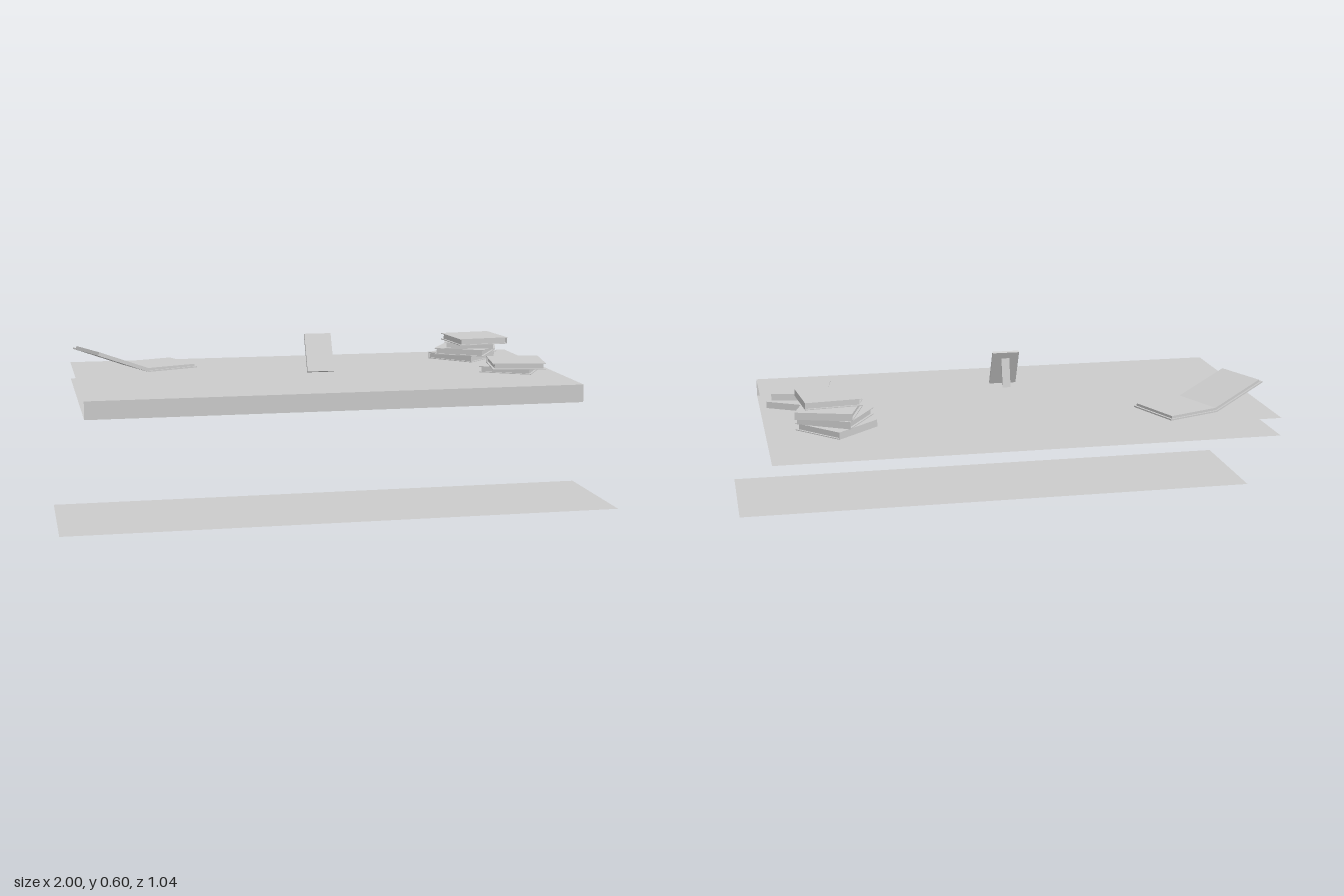
import * as THREE from 'three';

const grey = new THREE.MeshStandardMaterial({ color: 0xcccccc, flatShading: true });
const sheet = new THREE.MeshStandardMaterial({ color: 0xcccccc, side: THREE.DoubleSide });

function box(parent, name, w, h, d, x, y, z) {
  const m = new THREE.Mesh(new THREE.BoxGeometry(w, h, d), grey);
  m.name = name;
  m.position.set(x, y, z);
  parent.add(m);
  return m;
}

function panel(parent, name, w, h, x, y, z, tilt) {
  const m = new THREE.Mesh(new THREE.PlaneGeometry(w, h), sheet);
  m.name = name;
  m.position.set(x, y, z);
  m.rotation.x = tilt;
  parent.add(m);
}

// Closed book standing on its local y = 0, spine along the back
function closedBook(thickness) {
  const s = 0.2, c = 0.003;
  const book = new THREE.Group();
  book.name = 'book';
  box(book, 'bottomCover', s, c, s, 0, c / 2, 0);
  box(book, 'topCover', s, c, s, 0, thickness - c / 2, 0);
  box(book, 'pages', s - 0.016, thickness - 2 * c, s - 0.011, 0, thickness / 2, -0.0025);
  box(book, 'spine', s, thickness - 2 * c, c, 0, thickness / 2, -s / 2 + c / 2);
  return book;
}

// Pile of books: each entry is x, z, turn in degrees
function bookStack(name, thickness, entries) {
  const stack = new THREE.Group();
  stack.name = name;
  entries.forEach(([x, z, deg], i) => {
    const book = closedBook(thickness);
    book.position.set(x, 0.44 + i * thickness, z);
    book.rotation.y = THREE.MathUtils.degToRad(deg);
    stack.add(book);
  });
  return stack;
}

// Half of the open book, reaching from the hinge along +x or -x
function openHalf(name, length, side) {
  const half = new THREE.Group();
  half.name = name;
  box(half, 'cover', length, 0.005, 0.218, side * length / 2, 0.0025, 0);
  box(half, 'pages', length - 0.008, 0.009, 0.204, side * (length - 0.008) / 2, 0.0095, 0);
  return half;
}

export function createModel() {
  const model = new THREE.Group();

  // Floor mat and the open-sided desk top
  panel(model, 'floorMat', 2, 0.47, 0, 0, 0.285, -Math.PI / 2);
  const desk = new THREE.Group();
  desk.name = 'deskTop';
  panel(desk, 'upperSurface', 1.8, 0.925, 0, 0.44, -0.0625, -Math.PI / 2);
  panel(desk, 'lowerSurface', 1.8, 0.925, 0, 0.375, -0.0625, Math.PI / 2);
  panel(desk, 'frontEdge', 1.8, 0.065, 0, 0.4075, 0.4, 0);
  model.add(desk);

  // Two book piles on the left of the desk
  model.add(bookStack('backBookStack', 0.0255, [
    [0.663, -0.34, 43], [0.663, -0.314, -30], [0.685, -0.316, -17], [0.682, -0.252, -84],
  ]));
  model.add(bookStack('frontBookStack', 0.0238, [
    [0.749, 0.01, -30], [0.751, 0.067, -10],
  ]));

  // Open book with one half raised
  const open = new THREE.Group();
  open.name = 'openBook';
  open.position.set(-0.66, 0.441, -0.306);
  open.rotation.y = 0.375;
  const raised = openHalf('raisedHalf', 0.227, -1);
  raised.rotation.z = -0.36;
  open.add(openHalf('flatHalf', 0.21, 1), raised);
  model.add(open);

  // Picture frame leaning on its rear leg
  const frame = new THREE.Group();
  frame.name = 'pictureFrame';
  const face = box(frame, 'framePanel', 0.1, 0.148, 0.01, -0.008, 0.532, 0.04);
  face.rotation.x = -0.46;
  const leg = box(frame, 'frameLeg', 0.03, 0.112, 0.007, -0.008, 0.52, 0.006);
  leg.rotation.x = 0.23;
  model.add(frame);

  return model;
}
